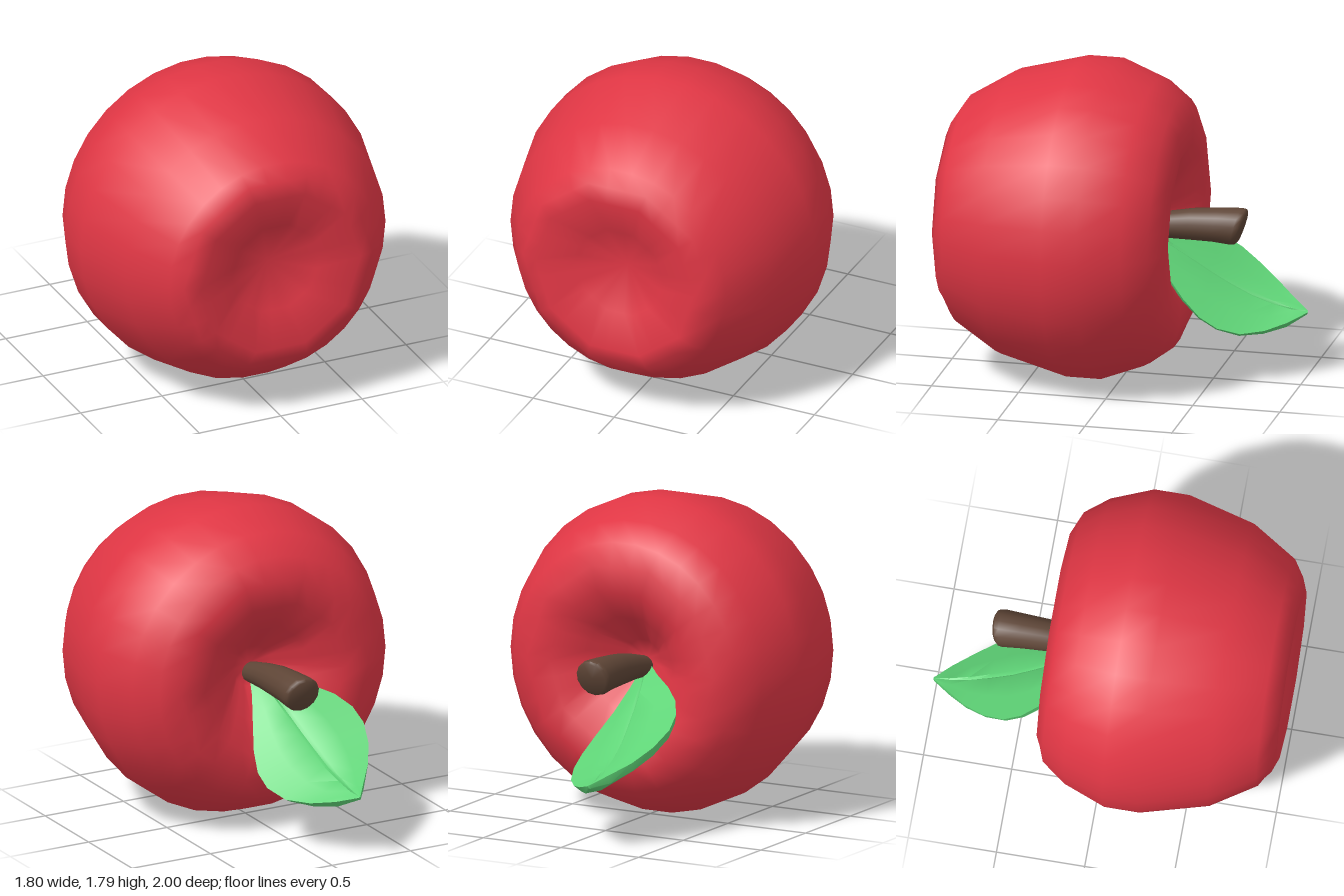
import * as THREE from 'three';
import { mergeVertices, toCreasedNormals } from 'three/addons/utils/BufferGeometryUtils.js';

const CENTRE_Y = 0.895;

function makeMesh(name, geometry, color) {
  const mesh = new THREE.Mesh(geometry, new THREE.MeshStandardMaterial({ color }));
  mesh.name = name;
  return mesh;
}

// Smooth normals across seams
function smooth(geometry) {
  geometry.deleteAttribute('uv');
  geometry.deleteAttribute('normal');
  const merged = mergeVertices(geometry, 1e-4);
  merged.computeVertexNormals();
  return merged;
}

function eachVertex(geometry, rule) {
  const pos = geometry.attributes.position;
  const v = new THREE.Vector3();
  for (let i = 0; i < pos.count; i++) {
    v.fromBufferAttribute(pos, i);
    rule(v);
    pos.setXYZ(i, v.x, v.y, v.z);
  }
}

// Fruit lying on its side: [radius, z] from stem hollow to blossom hollow
function fruitBody() {
  const profile = [
    [0, -0.03], [0.12, -0.08], [0.28, -0.23], [0.45, -0.345], [0.6, -0.342],
    [0.71, -0.29], [0.81, -0.155], [0.9, 0.08], [0.9, 0.28], [0.8, 0.66],
    [0.645, 0.91], [0.58, 0.965], [0.49, 1.0], [0.27, 0.93], [0, 0.82],
  ].map(([r, z]) => new THREE.Vector2(r, z));
  const geo = new THREE.LatheGeometry(profile, 30, Math.PI / 2);
  geo.rotateX(Math.PI / 2);
  // Inner rings are ten-sided, outer rings thirty-sided
  const step = Math.PI / 5;
  eachVertex(geo, (v) => {
    const r = Math.hypot(v.x, v.y);
    if (r > 0.01 && r < 0.62) {
      const a = Math.atan2(v.y, v.x);
      const off = a - (Math.floor(a / step + 1e-4) + 0.5) * step;
      const k = Math.cos(step / 2) / Math.cos(off);
      v.x *= k;
      v.y *= k;
    }
    v.y += CENTRE_Y;
  });
  return smooth(geo);
}

// Stem: tapered rod bent along a gentle arc, with a slanted cut end
function stemShape() {
  const profile = [
    [0, 0], [0.06, 0], [0.075, 0.25], [0.09, 0.5], [0.098, 0.75],
    [0.106, 0.94], [0.102, 0.98], [0.088, 1], [0, 1],
  ].map(([r, t]) => new THREE.Vector2(r, t));
  const geo = new THREE.LatheGeometry(profile, 14);
  geo.rotateX(-Math.PI / 2);
  eachVertex(geo, (v) => {
    const t = -v.z;
    const dy = v.y;
    v.x -= 0.005 * t;
    v.y = 0.86 + 0.11 * t - 0.07 * t * t + dy;
    v.z = -0.07 - 0.595 * t - 0.3 * dy * t * t;
  });
  return toCreasedNormals(smooth(geo), 0.9);
}

// Leaf: rolled sections with a grooved midrib and a rounded underside
function leafShape() {
  // z, midrib x y, right edge x y, left edge x y
  const sections = [
    [-0.06, -0.01, 0.87, -0.03, 0.88, 0.01, 0.86],
    [-0.15, -0.04, 0.81, -0.13, 0.84, 0.04, 0.75],
    [-0.25, -0.065, 0.745, -0.26, 0.80, 0.09, 0.62],
    [-0.36, -0.09, 0.67, -0.37, 0.755, 0.145, 0.5],
    [-0.46, -0.11, 0.6, -0.43, 0.7, 0.175, 0.41],
    [-0.56, -0.13, 0.535, -0.445, 0.635, 0.17, 0.35],
    [-0.68, -0.145, 0.47, -0.41, 0.555, 0.12, 0.31],
    [-0.8, -0.16, 0.42, -0.34, 0.48, 0.03, 0.31],
    [-0.91, -0.17, 0.385, -0.25, 0.42, -0.07, 0.335],
    [-1.0, -0.175, 0.375, -0.18, 0.375, -0.17, 0.37],
  ];
  const positions = [];
  const index = [];
  const n = 10;
  sections.forEach(([z, mx, my, rx, ry, lx, ly], i) => {
    const end = i === 0 || i === sections.length - 1;
    const thick = end ? 0.02 : 0.055;
    const groove = end ? 0 : 0.012;
    const mid = new THREE.Vector3(mx, my, z);
    const right = new THREE.Vector3(rx, ry, z);
    const left = new THREE.Vector3(lx, ly, z);
    const down = new THREE.Vector3(-0.35, -0.8, 0.3).normalize();
    const at = (edge, k, d) => mid.clone().lerp(edge, k).addScaledVector(down, d * thick);
    const ring = [
      at(right, 1, 0), at(right, 0.5, 0), at(right, 0.06, 0),
      mid.clone().addScaledVector(down, groove),
      at(left, 0.06, 0), at(left, 0.5, 0), at(left, 1, 0),
      at(left, 0.9, 0.85), at(mid, 0, 1.2), at(right, 0.9, 0.85),
    ];
    ring.forEach((p) => positions.push(p.x, p.y, p.z));
    for (let j = 0; j < n && i < sections.length - 1; j++) {
      const a = i * n + j;
      const b = i * n + ((j + 1) % n);
      index.push(a, b, a + n, b, b + n, a + n);
    }
  });
  // Close both ends
  const last = (sections.length - 1) * n;
  for (let j = 1; j < n - 1; j++) {
    index.push(0, j + 1, j, last, last + j, last + j + 1);
  }
  const geo = new THREE.BufferGeometry();
  geo.setAttribute('position', new THREE.Float32BufferAttribute(positions, 3));
  geo.setIndex(index);
  return toCreasedNormals(geo, 0.8);
}

export function createModel() {
  const group = new THREE.Group();
  group.name = 'apple';
  group.add(makeMesh('fruitBody', fruitBody(), 0xdf3644));
  group.add(makeMesh('stem', stemShape(), 0x5e4536));
  const leaf = makeMesh('leaf', leafShape(), 0x5fd477);
  leaf.material.side = THREE.DoubleSide;
  group.add(leaf);
  return group;
}
